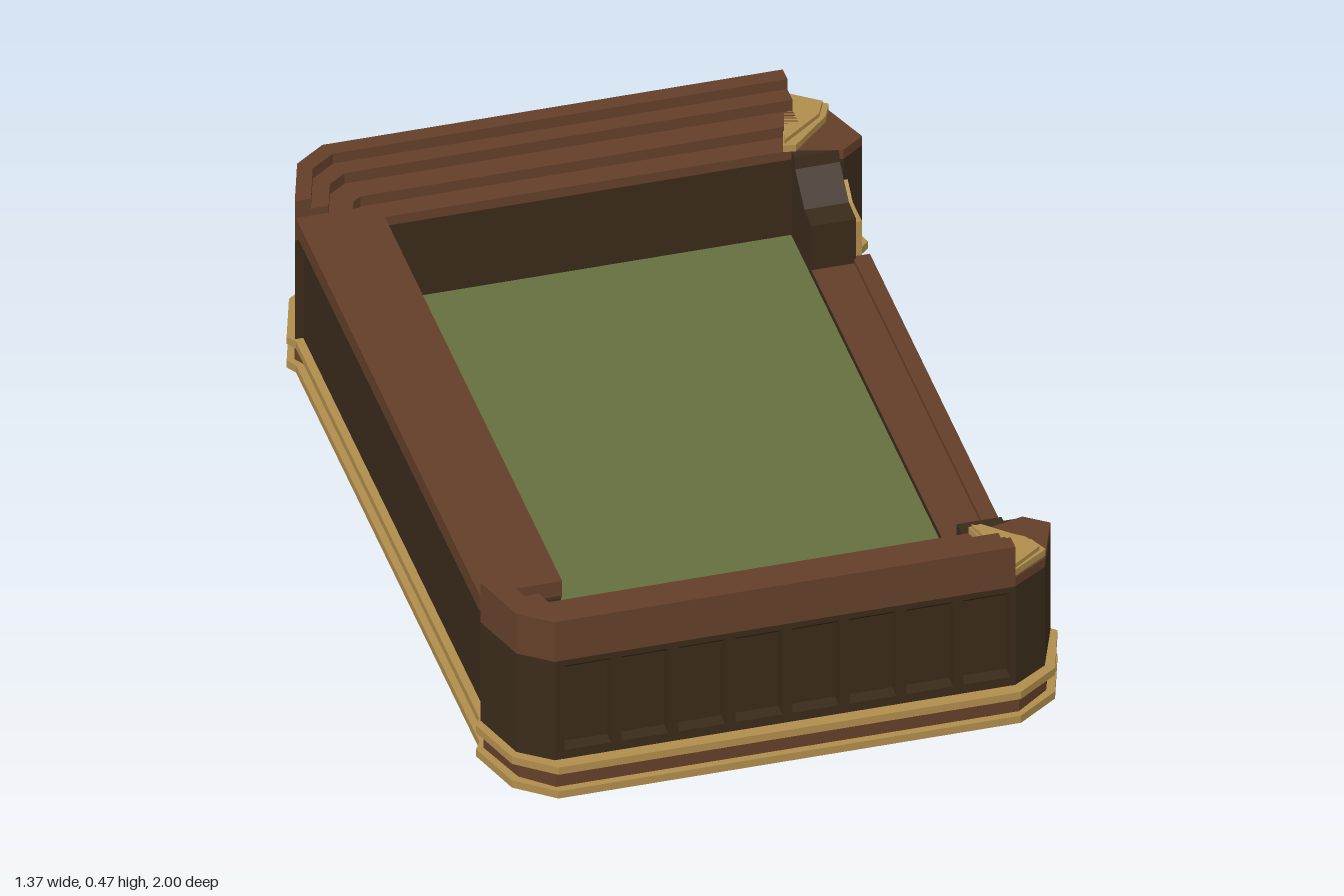
import * as THREE from 'three';

const mat = (color) => new THREE.MeshStandardMaterial({ color, flatShading: true });

export function createModel() {
  const model = new THREE.Group();
  const dark = mat(0x3a2b1b), brown = mat(0x643f29), gold = mat(0xb08d4c), green = mat(0x66703f);

  const add = (name, geometry, material) => {
    const mesh = new THREE.Mesh(geometry, material);
    mesh.name = name;
    model.add(mesh);
    return mesh;
  };
  const toShape = (pts) => new THREE.Shape(pts.map(([a, b]) => new THREE.Vector2(a, b)));
  const extrude = (shape, depth) => new THREE.ExtrudeGeometry(shape, { depth, bevelEnabled: false });

  // Plan outline in (x, z), raised from y0 to y1
  const slab = (name, pts, y0, y1, material, hole) => {
    const shape = toShape(pts);
    if (hole) shape.holes.push(toShape(hole));
    return add(name, extrude(shape, y1 - y0).rotateX(Math.PI / 2).translate(0, y1, 0), material);
  };
  // Side profile in (z, y), extended from x0 to x1
  const sideProfile = (name, pts, x0, x1, material) => {
    const shape = toShape(pts.map(([z, y]) => [-z, y]));
    return add(name, extrude(shape, x1 - x0).rotateY(Math.PI / 2).translate(x0, 0, 0), material);
  };
  const box = (name, x0, x1, y0, y1, z0, z1, material) =>
    add(name, new THREE.BoxGeometry(x1 - x0, y1 - y0, z1 - z0)
      .translate((x0 + x1) / 2, (y0 + y1) / 2, (z0 + z1) / 2), material);
  const flip = (pts, s) => pts.map(([x, z]) => [x, z * s]);

  // Plinth outline with chamfered corners, drawn in by o
  const outline = (o) => {
    const half = [
      [-0.67 + o, 0.765], [-0.685 + o, 0.79], [-0.64 + o, 0.93 - o * 0.6], [-0.55, 1 - o],
      [0.54, 1 - o], [0.64 - o, 0.93 - o * 0.6], [0.685 - o, 0.79], [0.635 - o, 0.745],
    ];
    return [...half, ...flip(half, -1).reverse()];
  };

  // Plinth: gold mouldings around a brown band
  slab('underside', outline(0.02), 0, 0.021, dark);
  slab('lowerMoulding', outline(0), 0, 0.02, gold, outline(0.02));
  slab('plinthBand', outline(0.018), 0.02, 0.066, brown);
  slab('upperMoulding', outline(0), 0.066, 0.086, gold);

  // Diamond studs along the low side
  for (let i = 0; i < 7; i++) {
    const stud = new THREE.OctahedronGeometry(1).scale(0.012, 0.014, 0.056);
    add('diamondStud', stud.translate(0.617, 0.043, (i - 3) * 0.18), gold);
  }

  // Floor, tall side wall and low side wall
  box('floor', -0.5, 0.52, 0.08, 0.15, -0.79, 0.79, green);
  box('tallSideWall', -0.65, -0.48, 0.08, 0.39, -0.775, 0.775, dark);
  box('tallSideTop', -0.67, -0.475, 0.385, 0.43, -0.765, 0.765, brown);
  box('lowSideWall', 0.5, 0.61, 0.08, 0.165, -0.75, 0.75, dark);
  box('lowSideRail', 0.5, 0.605, 0.15, 0.168, -0.62, 0.62, brown);
  box('lowSideLip', 0.6, 0.64, 0.162, 0.18, -0.615, 0.615, brown);

  // Outer edge of an end wall, drawn toward the inner corner by t
  const rimEdge = (t) => [[-0.67, 0.775], [-0.625, 0.915], [-0.55, 0.97]]
    .map(([x, z]) => [x + (-0.48 - x) * t, z + (0.775 - z) * t])
    .concat([[0.535, 0.97 + (0.775 - 0.97) * t]]);
  const post = [[0.535, 0.97], [0.62, 0.915], [0.67, 0.785], [0.615, 0.745], [0.5, 0.775]];
  const tiers = [[0.36, 0.385, 1], [0.385, 0.413, 0.72], [0.413, 0.442, 0.42], [0.442, 0.47, 0.2]];

  for (const s of [1, -1]) {
    // End wall core with its corner post
    const core = [[-0.67, 0.775], [-0.625, 0.915], [-0.55, 0.97], [-0.55, 0.935], [0.535, 0.935], ...post];
    slab('endWall', flip(core, s), 0.08, 0.36, dark);
    slab('postCap', flip([...post, [0.48, 0.775]], s), 0.36, 0.385, brown);

    // Facade with eight recessed panels
    const facade = toShape([[-0.55, 0.08], [0.535, 0.08], [0.535, 0.36], [-0.55, 0.36]]);
    for (let i = 0; i < 8; i++) {
      const x = -0.472 + i * 0.1343, w = 0.055;
      facade.holes.push(toShape([[x - w, 0.11], [x + w, 0.11], [x + w, 0.345], [x - w, 0.345]]));
      sideProfile('panelSoffit', flip([[0.97, 0.345], [0.934, 0.345], [0.934, 0.315]]
        .map(([z, y]) => [y, z]), s).map(([y, z]) => [z, y]), x - w, x + w, dark);
    }
    add('panelFacade', extrude(facade, 0.035).translate(0, 0, s > 0 ? 0.935 : -0.97), dark);

    // Stepped rim, descending toward the inside
    for (const [y0, y1, t] of tiers) {
      const inner = t === 1 ? [[0.535, 0.775], [-0.48, 0.775]] : rimEdge(t).reverse();
      slab('rimStep', flip([...rimEdge(0), ...inner], s), y0, y1, brown);
    }

    // Gold fan ornament on the corner post, two layers
    slab('fanBase', flip([[0.48, 0.775], [0.535, 0.965], [0.625, 0.905], [0.605, 0.86], [0.51, 0.77]], s),
      0.384, 0.402, gold);
    slab('fanTop', flip([[0.485, 0.78], [0.535, 0.96], [0.61, 0.905], [0.59, 0.86]], s), 0.4, 0.413, gold);

    // Bracket stepping from the post down to the low wall
    const bracket = [[0.78, 0.384], [0.748, 0.384], [0.742, 0.355], [0.665, 0.295],
      [0.605, 0.29], [0.605, 0.15], [0.78, 0.15]];
    sideProfile('bracket', bracket.map(([z, y]) => [z * s, y]), 0.5, 0.605, dark);
    const plate = [[0.747, 0.145], [0.747, 0.3], [0.705, 0.265], [0.628, 0.265], [0.628, 0.145]];
    sideProfile('bracketPlate', plate.map(([z, y]) => [z * s, y]), 0.6, 0.625, gold);
  }
  return model;
}
